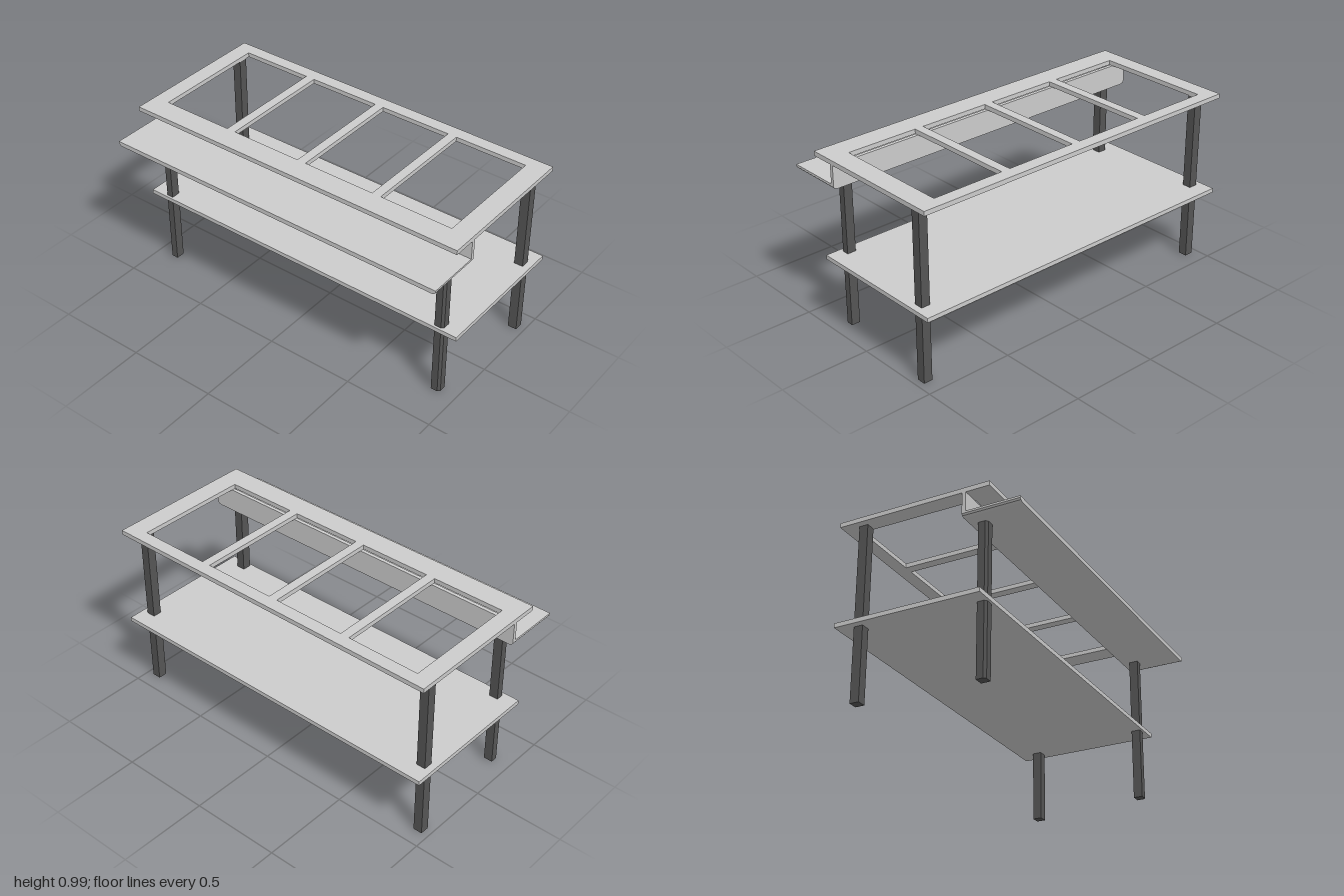
import * as THREE from 'three';

const panelMat = new THREE.MeshStandardMaterial({ color: 0xcccccc, flatShading: true });
const legMat = new THREE.MeshStandardMaterial({ color: 0x555555, flatShading: true });

const outline = (pts) => new THREE.Shape(pts.map(([x, y]) => new THREE.Vector2(x, y)));
const rect = (x0, x1, y0, y1) => [[x0, y0], [x1, y0], [x1, y1], [x0, y1]];

// Floor-plan shape (x, z) filled between two heights
function plate(shape, y0, y1) {
  return new THREE.ExtrudeGeometry(shape, { depth: y1 - y0, bevelEnabled: false })
    .rotateX(Math.PI / 2).translate(0, y1, 0);
}

// Full-length board with eased lower end corners, filled from x0 to x1
function easedBoard(x0, x1, y0, y1) {
  const shape = outline([
    [-0.98, y0], [0.98, y0], [0.994, y0 + 0.005], [1, y0 + 0.014], [1, y1],
    [-1, y1], [-1, y0 + 0.014], [-0.994, y0 + 0.005],
  ]);
  return new THREE.ExtrudeGeometry(shape, { depth: x1 - x0, bevelEnabled: false })
    .rotateY(Math.PI / 2).translate(x0, 0, 0);
}

export function createModel() {
  const group = new THREE.Group();
  const add = (name, geometry, material = panelMat) => {
    const mesh = new THREE.Mesh(geometry, material);
    mesh.name = name;
    group.add(mesh);
  };

  // Top frame with four openings
  const top = outline(rect(-0.345, 0.505, -1, 1));
  for (const z of [-0.908, -0.446, 0.015, 0.476]) {
    top.holes.push(new THREE.Path(outline(rect(-0.218, 0.434, z, z + 0.41)).getPoints()));
  }
  add('topFrame', plate(top, 0.96, 0.985));

  // Lower side tray and the riser joining it to the top
  add('sideTray', easedBoard(-0.51, -0.215, 0.83, 0.855));
  add('riser', easedBoard(-0.215, -0.195, 0.83, 0.96));

  // Bottom shelf
  add('shelf', plate(outline(rect(-0.3, 0.505, -1, 1)), 0.402, 0.426));

  // Legs: tall square pair, and short pair with a chamfered outer corner
  for (const s of [-1, 1]) {
    const side = s > 0 ? 'Front' : 'Back';
    const tall = rect(0.365, 0.415, 0.913, 0.963);
    const short = [[-0.287, 0.864], [-0.237, 0.864], [-0.237, 0.914], [-0.275, 0.914], [-0.287, 0.902]];
    const place = (pts) => outline(pts.map(([x, z]) => [x, z * s]));
    add('tallLeg' + side, plate(place(tall), 0, 0.96), legMat);
    add('shortLeg' + side, plate(place(short), 0.006, 0.83), legMat);
  }
  return group;
}
